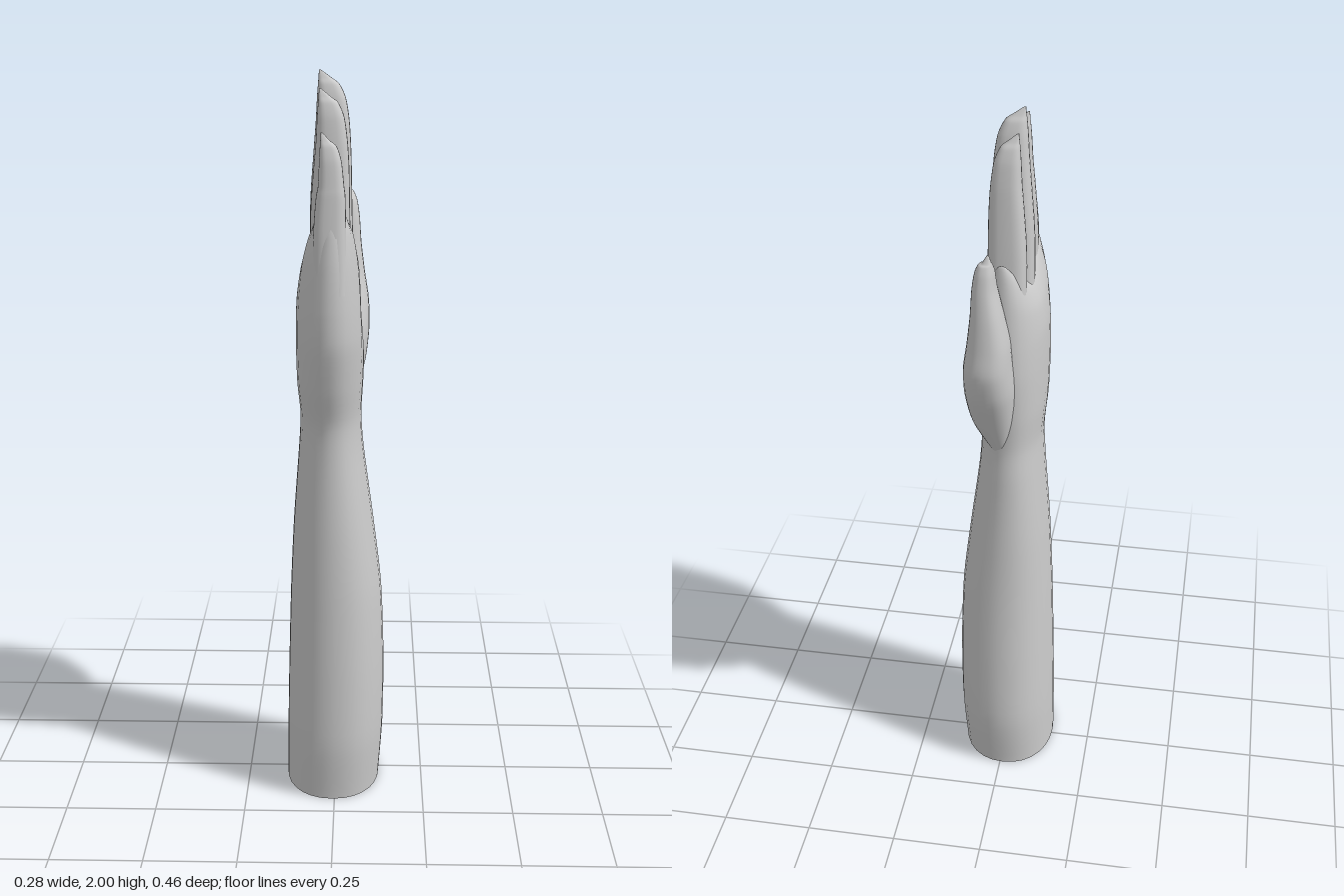
import * as THREE from 'three';

const SEGMENTS = 28;

// Smooth skin through horizontal sections [y, xMin, xMax, zMin, zMax].
// power 2 gives oval sections, larger values squarer ones; warp adjusts each point.
function loft(name, sections, { power = 2, steps = 5, warp = null } = {}) {
  const xCurve = new THREE.CatmullRomCurve3(
    sections.map(s => new THREE.Vector3(s[0], s[1], s[2])), false, 'catmullrom', 0.4);
  const zCurve = new THREE.CatmullRomCurve3(
    sections.map(s => new THREE.Vector3(s[0], s[3], s[4])), false, 'catmullrom', 0.4);
  const rows = (sections.length - 1) * steps;
  const positions = [], index = [];
  const round = v => Math.sign(v) * Math.abs(v) ** (2 / power);
  const add = (x, y, z) => {
    const p = new THREE.Vector3(x, y, z);
    if (warp) warp(p);
    positions.push(p.x, p.y, p.z);
  };

  for (let i = 0; i <= rows; i++) {
    const a = xCurve.getPoint(i / rows), b = zCurve.getPoint(i / rows);
    for (let j = 0; j < SEGMENTS; j++) {
      const t = (j / SEGMENTS) * Math.PI * 2;
      add((a.y + a.z) / 2 + round(Math.cos(t)) * (a.z - a.y) / 2, a.x,
        (b.y + b.z) / 2 + round(Math.sin(t)) * (b.z - b.y) / 2);
    }
  }
  for (let i = 0; i < rows; i++) {
    for (let j = 0; j < SEGMENTS; j++) {
      const k = (j + 1) % SEGMENTS;
      const a = i * SEGMENTS + j, b = i * SEGMENTS + k;
      index.push(a, a + SEGMENTS, b, b, a + SEGMENTS, b + SEGMENTS);
    }
  }

  // Rounded top shares the last ring; the bottom cap has its own ring for a crisp rim
  const last = sections[sections.length - 1], first = sections[0];
  const top = positions.length / 3;
  add((last[1] + last[2]) / 2, last[0], (last[3] + last[4]) / 2);
  for (let j = 0; j < SEGMENTS; j++) {
    index.push(rows * SEGMENTS + j, top, rows * SEGMENTS + (j + 1) % SEGMENTS);
  }
  const rim = top + 1;
  positions.push(...positions.slice(0, SEGMENTS * 3));
  add((first[1] + first[2]) / 2, first[0], (first[3] + first[4]) / 2);
  for (let j = 0; j < SEGMENTS; j++) {
    index.push(rim + j, rim + (j + 1) % SEGMENTS, rim + SEGMENTS);
  }

  const geometry = new THREE.BufferGeometry();
  geometry.setAttribute('position', new THREE.Float32BufferAttribute(positions, 3));
  geometry.setIndex(index);
  geometry.computeVertexNormals();
  const mesh = new THREE.Mesh(geometry, new THREE.MeshStandardMaterial({ color: 0xcccccc }));
  mesh.name = name;
  return mesh;
}

// Finger with a soft pad on +x and a pointed nail on the back (-x)
function finger(name, { zBase, zTip, half, yBase, yTip, back, front }) {
  const mid = (back + front) / 2;
  // [drop below tip, back, front, width factor]
  const rows = [
    [yTip - yBase, back, front, 1],
    [(yTip - yBase) * 0.62, back * 0.97, front * 0.9, 0.98],
    [(yTip - yBase) * 0.4, back * 0.85, front * 0.85, 0.92],
    [0.13, back * 0.75, front * 0.75, 0.86],
    [0.07, back * 0.7, front * 0.55, 0.72],
    [0.035, back * 0.66, front * 0.2, 0.5],
    [0.02, back * 0.64, mid, 0.28],
    [0, back * 0.62, back * 0.55, 0.04],
  ];
  return loft(name, rows.map(([drop, b, f, w]) => {
    const z = THREE.MathUtils.lerp(zTip, zBase, drop / (yTip - yBase));
    return [yTip - drop, b, f, z - half * w, z + half * w];
  }), { power: 2.9 });
}

export function createModel() {
  const hand = new THREE.Group();
  hand.name = 'forearmAndHand';

  // Forearm, wrist and palm in one skin, hollowed in the palm and arched at the knuckles
  hand.add(loft('forearmAndPalm', [
    [0, -0.139, 0.125, -0.148, 0.185],
    [0.17, -0.137, 0.136, -0.163, 0.2],
    [0.38, -0.132, 0.137, -0.155, 0.195],
    [0.6, -0.125, 0.128, -0.143, 0.185],
    [0.8, -0.115, 0.104, -0.135, 0.175],
    [1.0, -0.1, 0.077, -0.127, 0.165],
    [1.1, -0.095, 0.07, -0.122, 0.168],
    [1.2, -0.103, 0.075, -0.13, 0.196],
    [1.32, -0.105, 0.08, -0.14, 0.224],
    [1.42, -0.102, 0.077, -0.14, 0.229],
    [1.49, -0.09, 0.067, -0.138, 0.226],
    [1.54, -0.068, 0.052, -0.135, 0.218],
    [1.565, -0.045, 0.033, -0.13, 0.205],
    [1.57, -0.02, 0.01, -0.12, 0.19],
  ], {
    power: 2.15,
    warp: p => {
      if (p.x > 0) {
        p.x -= 0.022 * Math.exp(-(((p.y - 1.4) / 0.09) ** 2) - ((p.z - 0.02) / 0.07) ** 2);
      }
      const rise = THREE.MathUtils.clamp((p.y - 1.42) / 0.14, 0, 1);
      p.y += rise * Math.min(0.09, 5 * p.z * p.z);
    },
  }));

  // Thumb with its fleshy base and nail
  hand.add(loft('thumb', [
    [1.1, -0.02, 0.03, -0.115, -0.04],
    [1.2, -0.035, 0.076, -0.165, -0.02],
    [1.3, -0.04, 0.09, -0.21, -0.025],
    [1.38, -0.035, 0.088, -0.229, -0.055],
    [1.45, -0.03, 0.077, -0.223, -0.085],
    [1.53, -0.015, 0.067, -0.214, -0.105],
    [1.6, 0.0, 0.062, -0.204, -0.118],
    [1.645, 0.005, 0.055, -0.196, -0.13],
    [1.668, 0.01, 0.045, -0.188, -0.148],
    [1.675, 0.012, 0.035, -0.182, -0.16],
    [1.695, 0.018, 0.023, -0.173, -0.169],
  ], { power: 2.4 }));

  // Four fingers
  hand.add(finger('indexFinger',
    { zBase: -0.072, zTip: -0.057, half: 0.039, yBase: 1.46, yTip: 1.96, back: -0.06, front: 0.042 }));
  hand.add(finger('middleFinger',
    { zBase: 0.016, zTip: 0.017, half: 0.044, yBase: 1.46, yTip: 2.0, back: -0.068, front: 0.048 }));
  hand.add(finger('ringFinger',
    { zBase: 0.108, zTip: 0.095, half: 0.041, yBase: 1.46, yTip: 1.96, back: -0.064, front: 0.043 }));
  hand.add(finger('littleFinger',
    { zBase: 0.187, zTip: 0.17, half: 0.037, yBase: 1.46, yTip: 1.86, back: -0.054, front: 0.033 }));

  return hand;
}
